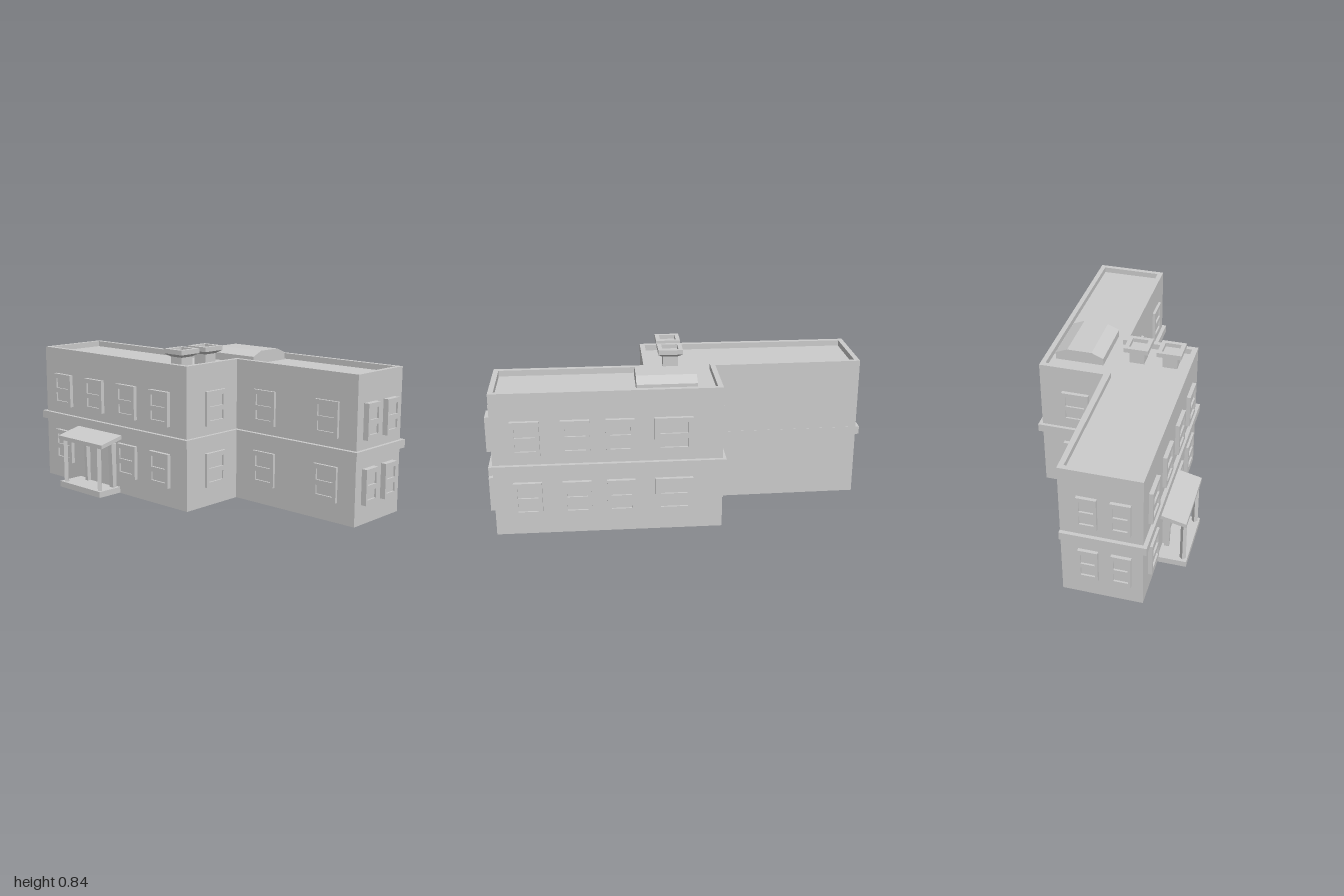
import * as THREE from 'three';

const mat = new THREE.MeshStandardMaterial({ color: 0xcccccc, flatShading: true });
const thin = new THREE.MeshStandardMaterial({ color: 0xcccccc, flatShading: true, side: THREE.DoubleSide });

// Plan outlines as [x, z], counter-clockwise seen from above
const outer = [[-0.98, 0.322], [0.185, 0.322], [0.185, -0.063], [0.97, -0.063],
  [0.97, -0.45], [-0.195, -0.45], [-0.195, -0.098], [-0.98, -0.088]];
const inner = [[-0.953, 0.293], [0.158, 0.293], [0.158, -0.092], [0.943, -0.092],
  [0.943, -0.423], [-0.168, -0.423], [-0.168, -0.065], [-0.953, -0.062]];
const bandOuter = [[-1, 0.343], [0.203, 0.343], [0.203, -0.041], [0.988, -0.041],
  [0.988, -0.471], [-0.213, -0.471], [-0.213, -0.099], [-1, -0.089]];
const bandInner = [[-0.975, 0.317], [0.18, 0.317], [0.18, -0.068], [0.965, -0.068],
  [0.965, -0.445], [-0.19, -0.445], [-0.19, -0.093], [-0.975, -0.083]];

const WALL_TOP = 0.768, ROOF = 0.737;

function mesh(name, geometry, parent, material = mat) {
  const m = new THREE.Mesh(geometry, material);
  m.name = name;
  parent.add(m);
  return m;
}

function planShape(points, hole) {
  const v = p => p.map(([x, z]) => new THREE.Vector2(x, -z));
  const s = new THREE.Shape(v(points));
  if (hole) s.holes.push(new THREE.Path(v(hole)));
  return s;
}

// Flat horizontal surface at height y
function slab(points, y, hole) {
  return new THREE.ShapeGeometry(planShape(points, hole)).rotateX(-Math.PI / 2).translate(0, y, 0);
}

// Vertical faces following a plan outline
function walls(points, y0, y1) {
  const pos = [];
  points.forEach(([ax, az], i) => {
    const [bx, bz] = points[(i + 1) % points.length];
    pos.push(ax, y0, az, bx, y0, bz, bx, y1, bz, ax, y0, az, bx, y1, bz, ax, y1, az);
  });
  const g = new THREE.BufferGeometry();
  g.setAttribute('position', new THREE.Float32BufferAttribute(pos, 3));
  g.computeVertexNormals();
  return g;
}

function box(name, x0, x1, y0, y1, z0, z1, parent) {
  const g = new THREE.BoxGeometry(x1 - x0, y1 - y0, z1 - z0);
  return mesh(name, g.translate((x0 + x1) / 2, (y0 + y1) / 2, (z0 + z1) / 2), parent);
}

function rectPath(Type, x0, x1, y0, y1) {
  return new Type([[x0, y0], [x1, y0], [x1, y1], [x0, y1]].map(p => new THREE.Vector2(...p)));
}

// Side profile given as [z, y], extruded from x0 to x1
function sideProfile(points, x0, x1) {
  const s = new THREE.Shape(points.map(([z, y]) => new THREE.Vector2(-z, y)));
  return new THREE.ExtrudeGeometry(s, { depth: x1 - x0, bevelEnabled: false })
    .rotateY(Math.PI / 2).translate(x0, 0, 0);
}

// Sash window: frame set through the wall, two openings and a recessed pane
function sashWindow(w, x, y, z, angle, parent, out = 0.021) {
  const g = new THREE.Group();
  g.name = 'window';
  const s = rectPath(THREE.Shape, -w / 2, w / 2, 0, 0.185), h = w * 0.36;
  s.holes.push(rectPath(THREE.Path, -h, h, 0.027, 0.075), rectPath(THREE.Path, -h, h, 0.102, 0.16));
  const frame = new THREE.ExtrudeGeometry(s, { depth: out + 0.012, bevelEnabled: false });
  mesh('windowFrame', frame.translate(0, 0, -0.012), g);
  box('windowPane', -h - 0.005, h + 0.005, 0.02, 0.165, -0.006, out - 0.01, g);
  g.position.set(x, y, z);
  g.rotation.y = angle;
  parent.add(g);
}

export function createModel() {
  const model = new THREE.Group();
  model.name = 'building';

  // Shell, parapet and flat roof; the front wing is open underneath
  mesh('outerWalls', walls(outer, 0, WALL_TOP), model, thin);
  mesh('parapetTop', slab(outer, WALL_TOP, inner), model, thin);
  mesh('parapetInside', walls([...inner].reverse(), ROOF, WALL_TOP), model, thin);
  mesh('roof', slab(inner, ROOF), model, thin);
  mesh('rearWingFloor', slab([[-0.195, -0.063], [0.97, -0.063], [0.97, -0.45], [-0.195, -0.45]], 0), model, thin);

  // Belt course between the storeys
  const band = new THREE.ExtrudeGeometry(planShape(bandOuter, bandInner), { depth: 0.044, bevelEnabled: false });
  mesh('beltCourse', band.rotateX(-Math.PI / 2).translate(0, 0.343, 0), model);

  // Windows on both floors
  [0.105, 0.437].forEach((y, storey) => {
    for (const x of [-0.81, -0.535, -0.267, -0.01])
      if (storey || x !== -0.535) sashWindow(0.145, x, y, 0.322, 0, model);
    for (const x of [0.385, 0.79]) sashWindow(0.145, x, y, -0.063, 0, model, 0.015);
    for (const [x, w] of [[0.8, 0.145], [0.55, 0.145], [0.325, 0.145], [0.055, 0.195]])
      sashWindow(w, x, y, -0.45, Math.PI, model);
    sashWindow(0.147, 0.185, y, 0.113, Math.PI / 2, model, 0.016);
    for (const z of [-0.166, -0.335]) sashWindow(0.1, 0.97, y, z, Math.PI / 2, model, 0.03);
    for (const z of [0.05, 0.215]) sashWindow(0.1, -0.98, y, z, -Math.PI / 2, model, 0.018);
    sashWindow(0.147, -0.195, y, -0.255, -Math.PI / 2, model);
  });

  // Entrance porch
  const porch = new THREE.Group();
  porch.name = 'porch';
  model.add(porch);
  box('porchStep', -0.685, -0.34, 0.002, 0.035, 0.32, 0.472, porch);
  mesh('porchRoof', sideProfile([[0.467, 0.277], [0.467, 0.299], [0.32, 0.333], [0.32, 0.311]], -0.695, -0.322), porch);
  for (const x of [-0.655, -0.365])
    mesh('porchPost', new THREE.CylinderGeometry(0.016, 0.016, 0.25, 4).translate(x, 0.16, 0.448), porch);

  // Doorway with slightly leaning jambs
  const jamb = [[0.335, 0.035], [0.36, 0.035], [0.368, 0.285], [0.335, 0.285]];
  mesh('doorJamb', sideProfile(jamb, -0.595, -0.575), porch);
  mesh('doorJamb', sideProfile(jamb, -0.385, -0.355), porch);
  box('door', -0.58, -0.38, 0.035, 0.285, 0.32, 0.338, porch);

  // Roof vents with flared hollow caps
  const ventProfile = [[0.04, ROOF], [0.04, 0.795], [0.066, 0.812], [0.066, 0.837], [0.043, 0.837], [0.043, 0.815], [0, 0.815]]
    .map(([r, y]) => new THREE.Vector2(r * Math.SQRT2, y));
  for (const z of [0.209, 0.03]) {
    const vent = new THREE.LatheGeometry(ventProfile, 4, Math.PI / 4);
    mesh('roofVent', vent.translate(0.037, 0, z), model, thin);
  }

  // Faceted skylight
  mesh('skylight', sideProfile([[-0.136, ROOF], [-0.136, 0.777], [-0.2, 0.804], [-0.335, 0.804],
    [-0.4, 0.777], [-0.4, ROOF]], -0.07, 0.238), model);

  return model;
}
